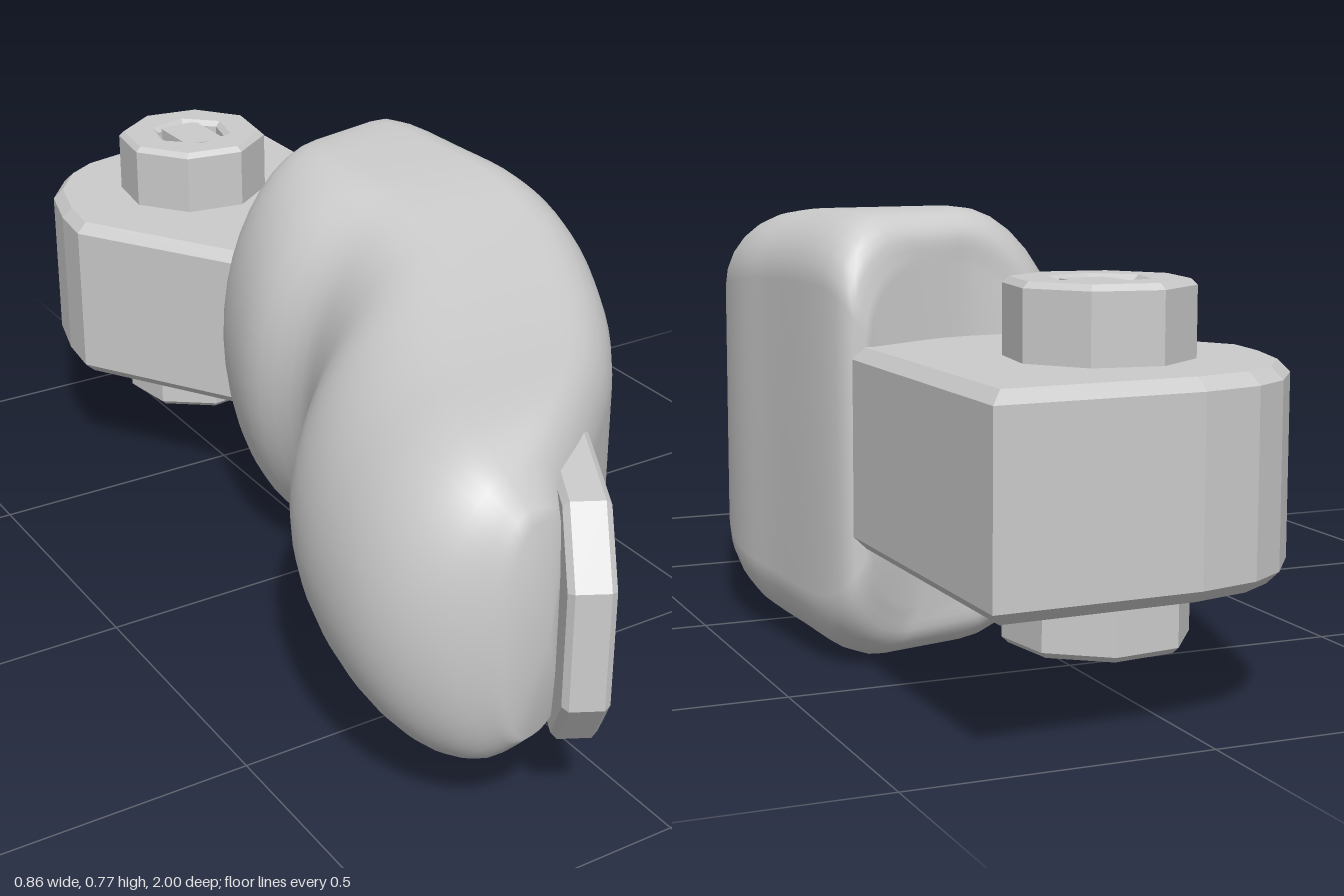
import * as THREE from 'three';

const MID = 0.388; // height of the symmetry plane
const smooth = new THREE.MeshStandardMaterial({ color: 0xcccccc });
const faceted = new THREE.MeshStandardMaterial({ color: 0xcccccc, flatShading: true });

function named(name, geometry, material) {
  const mesh = new THREE.Mesh(geometry, material);
  mesh.name = name;
  return mesh;
}

const polygon = (pts) => new THREE.Shape(pts.map(([x, y]) => new THREE.Vector2(x, y)));

function regular(radius, sides, turn = 0) {
  return Array.from({ length: sides }, (_, i) => {
    const a = turn + (i / sides) * Math.PI * 2;
    return [radius * Math.cos(a), radius * Math.sin(a)];
  });
}

// Curved body: cross-sections lofted between an inner and an outer edge
function bodyGeometry() {
  // inner x, inner z, outer x, outer z, half height, bow of the section
  const stations = [
    [-0.03, -0.335, 0.33, -0.43, 0.29, 0.045],
    [-0.08, -0.325, 0.365, -0.42, 0.345, 0.04],
    [-0.12, -0.25, 0.388, -0.36, 0.38, 0.02],
    [-0.165, -0.08, 0.41, -0.13, 0.38, 0],
    [-0.145, 0.08, 0.425, 0.02, 0.367, 0],
    [-0.2, 0.2, 0.4, 0.18, 0.342, 0],
    [-0.33, 0.36, 0.3, 0.4, 0.312, 0],
    [-0.41, 0.55, 0.18, 0.57, 0.295, 0],
    [-0.43, 0.7, 0.06, 0.69, 0.29, 0],
    [-0.41, 0.79, -0.02, 0.76, 0.28, 0],
    [-0.36, 0.86, -0.09, 0.82, 0.25, 0],
    [-0.28, 0.91, -0.15, 0.885, 0.19, 0],
  ];
  const inner = new THREE.CatmullRomCurve3(stations.map((s) => new THREE.Vector3(s[0], s[4], s[1])));
  const outer = new THREE.CatmullRomCurve3(stations.map((s) => new THREE.Vector3(s[2], s[5], s[3])));
  const rows = 44;
  const pos = [];
  const index = [];
  let count = 0;

  for (let i = 0; i <= rows; i++) {
    const a = inner.getPoint(i / rows);
    const b = outer.getPoint(i / rows);
    const h = a.y;
    const w = Math.hypot(b.x - a.x, b.z - a.z);
    const r = Math.min(0.12, w * 0.45, h * 0.8);
    // upper half: round inner side, flat top, tightly rounded outer corner
    const half = [];
    for (let k = 0; k <= 10; k++) {
      const q = (k / 10) * Math.PI / 2;
      half.push([0.46 * (1 - Math.cos(q)), Math.sin(q)]);
    }
    for (let k = 0; k <= 6; k++) {
      const q = (k / 6) * Math.PI / 2;
      half.push([1 - (r / w) * (1 - Math.sin(q)), 1 - (r / h) * (1 - Math.cos(q))]);
    }
    half.push([1, 0]);
    const ring = [...half, ...half.slice(1, -1).reverse().map(([t, v]) => [t, -v])];
    count = ring.length;
    for (const [t, v] of ring) {
      pos.push(a.x + (b.x - a.x) * t, MID + h * v, a.z + (b.z - a.z) * t + b.y * 4 * t * (1 - t));
    }
  }
  for (let i = 0; i < rows; i++) {
    for (let j = 0; j < count; j++) {
      const a = i * count + j;
      const b = i * count + ((j + 1) % count);
      index.push(a, a + count, b, b, a + count, b + count);
    }
  }
  // end caps
  const back = pos.length / 3;
  pos.push(0.15, MID, -0.342, -0.21, MID, 0.93);
  for (let j = 0; j < count; j++) {
    const n = (j + 1) % count;
    index.push(back, j, n, back + 1, rows * count + n, rows * count + j);
  }
  const geometry = new THREE.BufferGeometry();
  geometry.setAttribute('position', new THREE.Float32BufferAttribute(pos, 3));
  geometry.setIndex(index);
  geometry.computeVertexNormals();
  return geometry;
}

// Rear mounting plate, outlined in x and -z
function plateGeometry() {
  const bevel = 0.02;
  const outline = polygon([
    [0.34, 0.2], [0.34, 0.98], [0.02, 0.965], [-0.08, 0.94], [-0.14, 0.9],
    [-0.2, 0.82], [-0.23, 0.71], [-0.24, 0.62], [-0.04, 0.3], [0.02, 0.2],
  ]);
  const geometry = new THREE.ExtrudeGeometry(outline, {
    depth: 0.335 - bevel * 2, bevelThickness: bevel, bevelSize: bevel, bevelSegments: 1,
  });
  return geometry.rotateX(-Math.PI / 2).translate(0, 0.22 + bevel, 0);
}

// Eight-sided bolt head with a six-sided recess and a square stud, top at y = 0.13
function boltHead(name) {
  const group = new THREE.Group();
  group.name = name;
  const collar = polygon(regular(0.142, 8, 0.25));
  collar.holes.push(new THREE.Path(regular(0.085, 6, 0.3).map(([x, y]) => new THREE.Vector2(x, y))));
  const head = new THREE.ExtrudeGeometry(collar, {
    depth: 0.13, bevelThickness: 0.01, bevelSize: 0.01, bevelSegments: 1,
  });
  head.rotateX(-Math.PI / 2).translate(0, -0.01, 0);
  const floor = new THREE.CylinderGeometry(0.1, 0.1, 0.1, 8).translate(0, 0.05, 0);
  const stud = new THREE.BoxGeometry(0.085, 0.1, 0.125).translate(0, 0.075, 0);
  group.add(named('boltCollar', head, faceted), named('recessFloor', floor, faceted),
    named('squareStud', stud, faceted));
  return group;
}

// Tapered pad lying against the outer face at the tip
function padGeometry() {
  const outline = polygon([
    [0, -0.213], [0.21, -0.203], [0.29, -0.1], [0.29, 0.1], [0.21, 0.203], [0, 0.213],
  ]);
  const geometry = new THREE.ExtrudeGeometry(outline, {
    depth: 0.055, bevelThickness: 0.01, bevelSize: 0.01, bevelSegments: 1,
  });
  const along = new THREE.Vector3(-0.47, 0, 0.883).normalize();
  const up = new THREE.Vector3(0, 1, 0);
  const inward = new THREE.Vector3().crossVectors(along, up);
  const frame = new THREE.Matrix4().makeBasis(along, up, inward).setPosition(-0.012, MID, 0.735);
  return geometry.applyMatrix4(frame);
}

export function createModel() {
  const model = new THREE.Group();
  model.name = 'curvedArm';
  const upperBolt = boltHead('upperBolt');
  upperBolt.position.set(0.045, 0.55, -0.69);
  const lowerBolt = boltHead('lowerBolt');
  lowerBolt.rotation.x = Math.PI;
  lowerBolt.position.set(0.045, 0.23, -0.69);
  model.add(
    named('body', bodyGeometry(), smooth),
    named('mountingPlate', plateGeometry(), faceted),
    named('tipPad', padGeometry(), faceted),
    upperBolt,
    lowerBolt,
  );
  return model;
}
